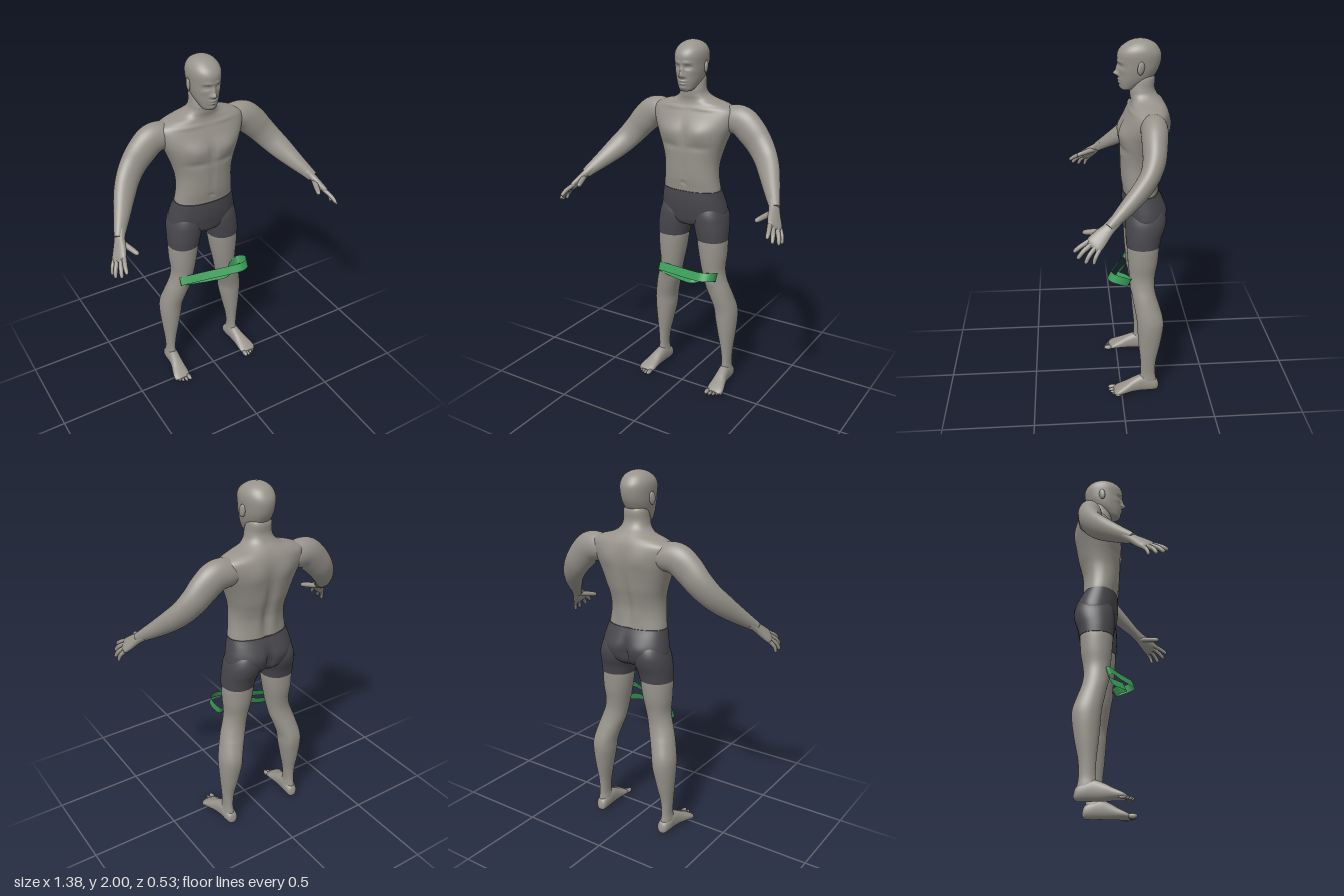
import * as THREE from 'three';
import { ParametricGeometry } from 'three/addons/geometries/ParametricGeometry.js';

const V = (x, y, z) => new THREE.Vector3(x, y, z);
const X = V(1, 0, 0), Y = V(0, 1, 0), Z = V(0, 0, 1);

const paint = (name, color, extra = {}) => {
  const m = new THREE.MeshStandardMaterial({ color, ...extra });
  m.name = name;
  return m;
};

// Smooth closed skin through cross-sections [x, y, z, halfU, halfV].
// ref sets the U direction; axis fixes the ring plane (else it follows the path).
// bumps [x, y, side, sx, sy, amount] push the front (1) or back (-1) in or out, mirrored in x.
function loft(rows, { ref, axis, n = 2, segs = 36, steps = 6, bumps = [] }) {
  const path = new THREE.CatmullRomCurve3(rows.map(r => V(r[0], r[1], r[2])), false, 'catmullrom');
  const size = new THREE.CatmullRomCurve3(rows.map(r => V(r[3], r[4], 0)), false, 'catmullrom');
  const count = (rows.length - 1) * steps, pos = [], index = [];
  const power = c => Math.sign(c) * Math.abs(c) ** (2 / n);
  for (let i = 0; i <= count; i++) {
    const c = path.getPoint(i / count), r = size.getPoint(i / count);
    const t = axis ?? path.getTangent(i / count);
    const u = ref.clone().addScaledVector(t, -ref.dot(t)).normalize();
    const v = t.clone().cross(u);
    for (let j = 0; j < segs; j++) {
      const a = j / segs * Math.PI * 2, sn = Math.sin(a);
      const p = c.clone().addScaledVector(u, r.x * power(Math.cos(a))).addScaledVector(v, r.y * power(sn));
      let push = 0;
      for (const [bx, by, side, sx, sy, amount] of bumps) {
        const g = ((Math.abs(p.x) - bx) / sx) ** 2 + ((p.y - by) / sy) ** 2;
        push += side * amount * Math.max(0, side * sn) * Math.exp(-g);
      }
      pos.push(p.x, p.y, p.z + push);
      if (i < count) {
        const k = i * segs + j, m = i * segs + (j + 1) % segs;
        index.push(k, m, k + segs, m, m + segs, k + segs);
      }
    }
  }
  // End caps with their own vertices
  for (const [ring, end] of [[0, 0], [count, 1]]) {
    const base = pos.length / 3, c = path.getPoint(end);
    pos.push(...pos.slice(ring * segs * 3, (ring + 1) * segs * 3), c.x, c.y, c.z);
    for (let j = 0; j < segs; j++) {
      const k = base + j, m = base + (j + 1) % segs;
      index.push(base + segs, ...(end ? [k, m] : [m, k]));
    }
  }
  const g = new THREE.BufferGeometry();
  g.setAttribute('position', new THREE.Float32BufferAttribute(pos, 3));
  g.setIndex(index);
  g.computeVertexNormals();
  return g;
}

export function createModel() {
  const model = new THREE.Group();
  model.name = 'standingMan';
  const skin = paint('skin', 0x98948c);
  const cloth = paint('shortsCloth', 0x48474c);
  const rubber = paint('greenBand', 0x3c9f5a, { side: THREE.DoubleSide });

  const add = (name, geometry, material = skin) => {
    const mesh = new THREE.Mesh(geometry, material);
    mesh.name = name;
    model.add(mesh);
    return mesh;
  };
  const ball = (name, x, y, z, a, b, c) => {
    const mesh = add(name, new THREE.SphereGeometry(1, 20, 14));
    mesh.position.set(x, y, z);
    mesh.scale.set(a, b, c);
    return mesh;
  };
  const upright = { ref: X.clone().negate(), axis: Y };
  // [y, halfWidth, front, back] and [y, inner, outer, front, back]
  const level = ([y, w, f, b]) => [0, y, (f + b) / 2, w, (f - b) / 2];
  const limb = s => ([y, i, o, f, b]) => [s * (i + o) / 2, y, (f + b) / 2, (o - i) / 2, (f - b) / 2];

  // Torso and neck
  add('torso', loft([
    [1.16, .172, -.024, -.215], [1.2, .17, -.02, -.21], [1.25, .163, -.012, -.208],
    [1.3, .16, -.008, -.212], [1.35, .163, -.006, -.225], [1.4, .175, -.004, -.24],
    [1.45, .192, 0, -.25], [1.5, .212, -.002, -.258], [1.55, .235, -.012, -.263],
    [1.6, .252, -.032, -.262], [1.64, .245, -.05, -.255], [1.667, .19, -.06, -.243],
    [1.688, .118, -.062, -.228], [1.715, .08, -.058, -.203], [1.75, .069, -.058, -.188],
    [1.8, .064, -.075, -.188], [1.83, .05, -.09, -.17],
  ].map(level), {
    ...upright, n: 2.25, segs: 72, bumps: [
      [.09, 1.52, 1, .07, .045, .015], [.09, 1.44, 1, .08, .02, -.007], [0, 1.5, 1, .016, .07, -.01],
      [0, 1.235, 1, .009, .009, -.009], [0, 1.33, 1, .01, .08, -.005], [.1, 1.645, 1, .08, .01, .005],
      [0, 1.38, -1, .024, .18, -.018], [.09, 1.57, -1, .05, .06, .01], [.05, 1.26, -1, .03, .08, .006],
    ],
  }));

  // Head with face relief
  add('head', loft([
    [1.736, .018, -.022, -.05], [1.744, .037, -.012, -.08], [1.77, .053, -.004, -.13],
    [1.8, .066, 0, -.175], [1.84, .076, .002, -.203], [1.88, .081, .006, -.217],
    [1.92, .084, .008, -.22], [1.95, .079, -.006, -.208], [1.975, .062, -.035, -.186],
    [1.992, .036, -.07, -.152], [2, .002, -.109, -.113],
  ].map(level), {
    ...upright, n: 2.1, segs: 96, steps: 9, bumps: [
      [0, 1.823, 1, .013, .013, .024], [0, 1.846, 1, .01, .022, .013], [.014, 1.819, 1, .007, .007, .007],
      [.032, 1.866, 1, .017, .011, -.013], [.032, 1.865, 1, .009, .006, .006], [.028, 1.888, 1, .026, .009, .005],
      [0, 1.793, 1, .022, .006, .008], [0, 1.778, 1, .019, .006, .008], [0, 1.756, 1, .02, .011, .006],
      [.055, 1.84, 1, .018, .016, .004],
    ],
  }));

  // Pelvis of the shorts
  add('shortsPelvis', loft([
    [.965, .05, -.09, -.17], [.985, .11, -.05, -.215], [1.01, .17, -.036, -.24], [1.05, .199, -.028, -.252],
    [1.09, .197, -.021, -.255], [1.14, .186, -.017, -.24], [1.188, .175, -.017, -.217],
  ].map(level), {
    ...upright, n: 2.25, segs: 64, bumps: [[.09, 1.07, -1, .06, .06, .01], [0, 1.05, -1, .02, .075, -.03]],
  }), cloth);

  for (const s of [1, -1]) {
    const side = s > 0 ? 'left' : 'right';
    const at = ([x, y, z, a, b]) => [s * x, y, z, a, b];

    ball(side + 'Ear', s * .084, 1.862, -.108, .01, .034, .019).rotation.set(-.15, s * .3, 0);

    // Shorts leg
    add(side + 'ShortsLeg', loft([
      [.9, .038, .218, -.034, -.217], [.95, .026, .217, -.03, -.228], [1, .012, .213, -.029, -.246],
      [1.05, .012, .203, -.032, -.252], [1.1, .03, .18, -.05, -.235], [1.13, .06, .14, -.08, -.2],
    ].map(limb(s)), { ...upright, n: 2.15 }), cloth);

    // Thigh, knee and calf
    add(side + 'Leg', loft([
      [.02, .192, .25, -.12, -.207], [.07, .19, .251, -.104, -.203], [.12, .195, .247, -.112, -.196],
      [.2, .186, .252, -.11, -.2], [.3, .165, .262, -.1, -.221], [.4, .145, .27, -.092, -.236],
      [.47, .136, .268, -.087, -.235], [.55, .112, .25, -.073, -.214], [.6, .095, .236, -.065, -.199],
      [.66, .082, .216, -.058, -.19], [.72, .07, .206, -.05, -.194], [.8, .054, .213, -.042, -.208],
      [.88, .042, .216, -.037, -.214], [.94, .04, .212, -.036, -.215],
    ].map(limb(s)), {
      ...upright, n: 2.1, bumps: [[.15, .65, 1, .03, .03, .006], [.17, .44, -1, .025, .07, .005], [.24, .46, -1, .025, .07, .004]],
    }));

    // Foot
    add(side + 'Foot', loft([
      [.218, .028, -.218, .008, .01], [.218, .036, -.206, .028, .033], [.22, .045, -.17, .034, .045],
      [.222, .052, -.12, .034, .052], [.227, .043, -.07, .037, .043], [.233, .032, -.03, .044, .032],
      [.238, .022, .01, .05, .022], [.239, .016, .032, .046, .015], [.237, .014, .045, .03, .008],
    ].map(at), { ref: X, axis: Z, n: 2.3, segs: 28 }));
    [[.203, .05, .014, .027], [.225, .052, .01, .024], [.245, .044, .009, .023], [.263, .033, .009, .021], [.279, .02, .009, .019]]
      .forEach(([x, z, r, len], i) => ball(`${side}Toe${i + 1}`, s * x, r, z, r * .9, r, len));

    // Shoulder, upper arm and forearm
    add(side + 'Arm', loft([
      [.13, 1.58, -.16, .05, .06], [.2, 1.588, -.162, .073, .068], [.275, 1.582, -.16, .083, .068],
      [.335, 1.535, -.155, .083, .064], [.39, 1.475, -.147, .076, .058], [.44, 1.415, -.12, .07, .051],
      [.485, 1.36, -.072, .063, .048], [.53, 1.305, -.01, .05, .041], [.575, 1.252, .055, .036, .03],
      [.597, 1.225, .088, .03, .024],
    ].map(at), { ref: V(s, 1, 0) }));

    // Palm
    const across = V(s * .035, -.035, -.06);
    add(side + 'Palm', loft([
      [.575, 1.252, .055, .031, .027], [.597, 1.222, .09, .031, .021], [.615, 1.192, .125, .04, .02],
      [.635, 1.162, .158, .045, .017], [.643, 1.148, .176, .036, .009],
    ].map(at), { ref: across, n: 2.3, segs: 28 }));

    // Fingers and thumb: root, joint, tip, radius
    const digits = {
      IndexFinger: [[.617, 1.176, .178], [.634, 1.152, .226], [.642, 1.126, .262], .0125],
      MiddleFinger: [[.631, 1.164, .17], [.652, 1.135, .213], [.664, 1.1, .245], .0125],
      RingFinger: [[.645, 1.152, .155], [.67, 1.12, .187], [.683, 1.083, .208], .012],
      LittleFinger: [[.656, 1.142, .137], [.675, 1.112, .157], [.682, 1.077, .168], .011],
      Thumb: [[.598, 1.21, .1], [.574, 1.198, .16], [.553, 1.186, .215], .016],
    };
    for (const [name, [root, joint, tip, r]] of Object.entries(digits)) {
      const near = tip.map((v, i) => v + (joint[i] - v) * .2);
      add(side + name, loft([
        [...root, r, r], [...joint, r * .95, r * .95], [...near, r * .75, r * .75], [...tip, r * .1, r * .1],
      ].map(at), { ref: across, segs: 14, steps: 5 }));
    }
  }

  // Stretched exercise band looped at the knees
  const loop = new THREE.CatmullRomCurve3([
    V(-.19, .685, -.052), V(-.05, .705, -.005), V(.08, .723, .04), V(.155, .735, .062), V(.2, .735, .045),
    V(.217, .725, 0), V(.195, .7, -.048), V(.13, .695, -.022), V(.08, .69, .018), V(0, .677, -.008),
    V(-.1, .665, -.05), V(-.18, .675, -.063),
  ], true);
  add('exerciseBand', new ParametricGeometry((u, v, target) => {
    loop.getPoint(u % 1, target);
    target.addScaledVector(V(0, .9, -.42), (v - .5) * .05);
  }, 120, 2), rubber);

  return model;
}
